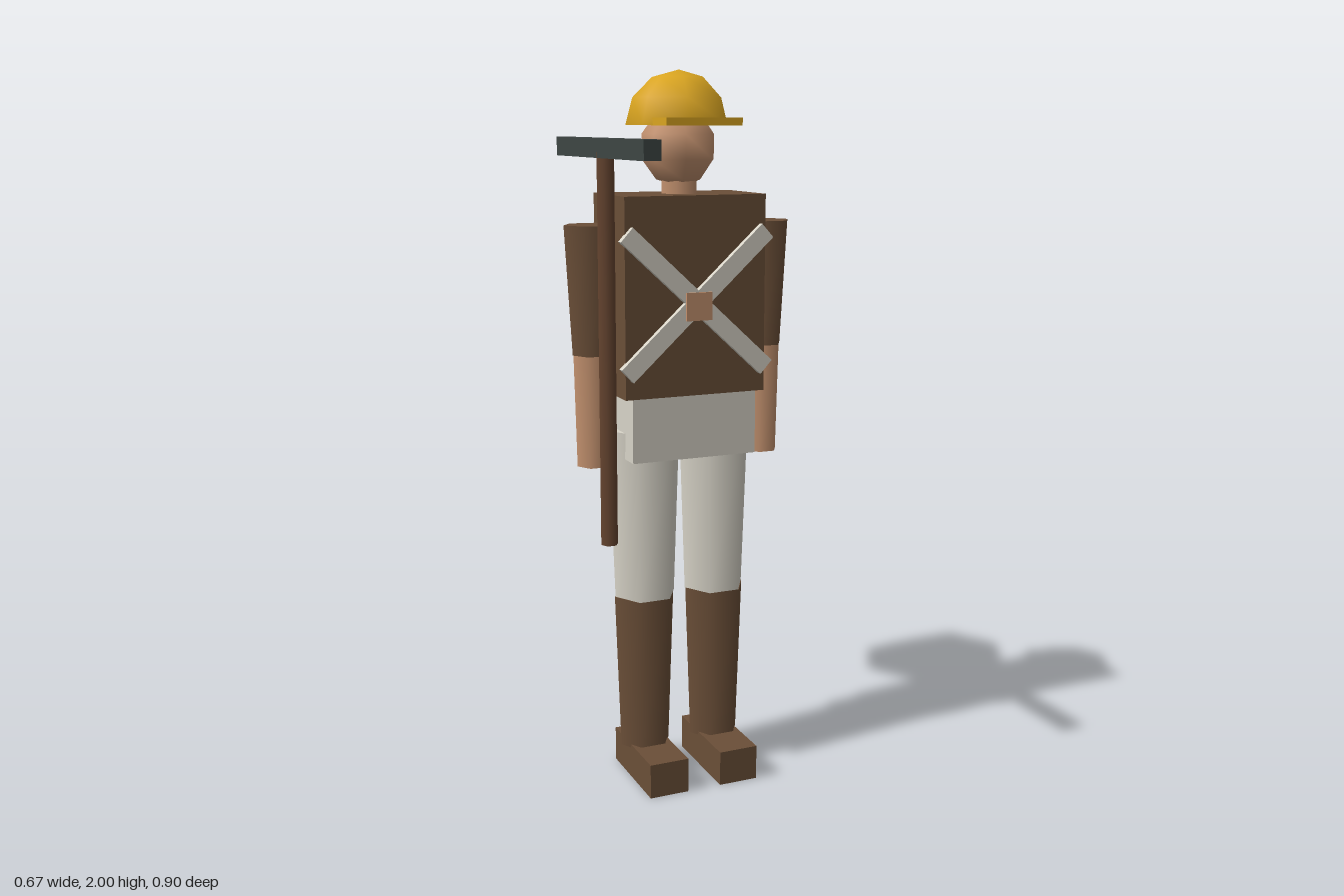
import * as THREE from 'three';

const material = (name, color) => {
  const m = new THREE.MeshStandardMaterial({ color });
  m.name = name;
  return m;
};

export function createModel() {
  const brown = material('brown cloth', 0x6b4f38);
  const wood = material('wood', 0x65442f);
  const cream = material('cream cloth', 0xd8d4c8);
  const skin = material('skin', 0xc4926f);
  const yellow = material('yellow helmet', 0xdaa520);
  yellow.side = THREE.DoubleSide;
  const metal = material('dark metal', 0x3d4644);

  const model = new THREE.Group();
  model.name = 'hiker';

  const add = (name, geometry, mat, x, y, z, parent = model) => {
    const mesh = new THREE.Mesh(geometry, mat);
    mesh.name = name;
    mesh.position.set(x, y, z);
    parent.add(mesh);
    return mesh;
  };
  // Box given by its extents
  const box = (name, mat, [x0, x1], [y0, y1], [z0, z1], parent) =>
    add(name, new THREE.BoxGeometry(x1 - x0, y1 - y0, z1 - z0), mat,
      (x0 + x1) / 2, (y0 + y1) / 2, (z0 + z1) / 2, parent);
  // Upright six-sided tapered limb with corners pointing sideways
  const limb = (name, mat, rTop, rBottom, x, yTop, yBottom, z, parent) =>
    add(name, new THREE.CylinderGeometry(rTop, rBottom, yTop - yBottom, 6).rotateY(Math.PI / 2),
      mat, x, (yTop + yBottom) / 2, z, parent);

  // Body
  box('torso', brown, [-0.205, 0.205], [1.135, 1.675], [-0.122, 0.114]);
  box('hips', cream, [-0.183, 0.183], [0.957, 1.135], [-0.113, 0.108]);
  limb('neck', skin, 0.052, 0.052, 0, 1.74, 1.66, -0.003);

  // Arms and legs
  for (const [side, s] of [['left', 1], ['right', -1]]) {
    const arm = new THREE.Group();
    arm.name = side + 'Arm';
    limb('sleeve', brown, 0.076, 0.056, s * 0.257, 1.597, 1.247, -0.004, arm);
    limb('forearm', skin, 0.054, 0.047, s * 0.257, 1.247, 0.937, -0.004, arm);

    const leg = new THREE.Group();
    leg.name = side + 'Leg';
    limb('thigh', cream, 0.107, 0.09, s * 0.107, 1.03, 0.545, -0.003, leg);
    limb('bootShaft', brown, 0.09, 0.074, s * 0.109, 0.545, 0.09, -0.003, leg);
    const feet = s > 0 ? [0.05, 0.165] : [-0.165, -0.05];
    box('foot', brown, feet, [0, 0.1], [-0.1, 0.18], leg);
    model.add(arm, leg);
  }

  // Head and helmet
  add('head', new THREE.SphereGeometry(0.108, 7, 5).rotateY(Math.PI), skin, 0, 1.8, -0.003);
  add('helmetDome',
    new THREE.SphereGeometry(0.145, 7, 3, 0, Math.PI * 2, 0, Math.PI / 2).rotateY(Math.PI),
    yellow, 0, 1.857, -0.006);
  box('helmetVisor', yellow, [-0.108, 0.108], [1.856, 1.876], [0.06, 0.168]);

  // Crossed chest straps with a buckle
  for (const s of [1, -1]) {
    const strap = add('chestStrap', new THREE.BoxGeometry(0.555, 0.05, 0.021), cream, 0, 1.39, 0.12);
    strap.rotation.z = s * 0.742;
  }
  box('buckle', skin, [-0.037, 0.037], [1.343, 1.419], [0.11, 0.138]);

  // Round pack on the back
  add('backpack', new THREE.SphereGeometry(0.215, 6, 3), brown, 0, 1.413, -0.288);

  // Pickaxe in the right hand
  const pickaxe = new THREE.Group();
  pickaxe.name = 'pickaxe';
  limb('handle', wood, 0.024, 0.024, -0.26, 1.79, 0.745, 0.125, pickaxe);
  box('pickHead', metal, [-0.283, -0.238], [1.775, 1.825], [-0.2, 0.45], pickaxe);
  model.add(pickaxe);

  return model;
}
